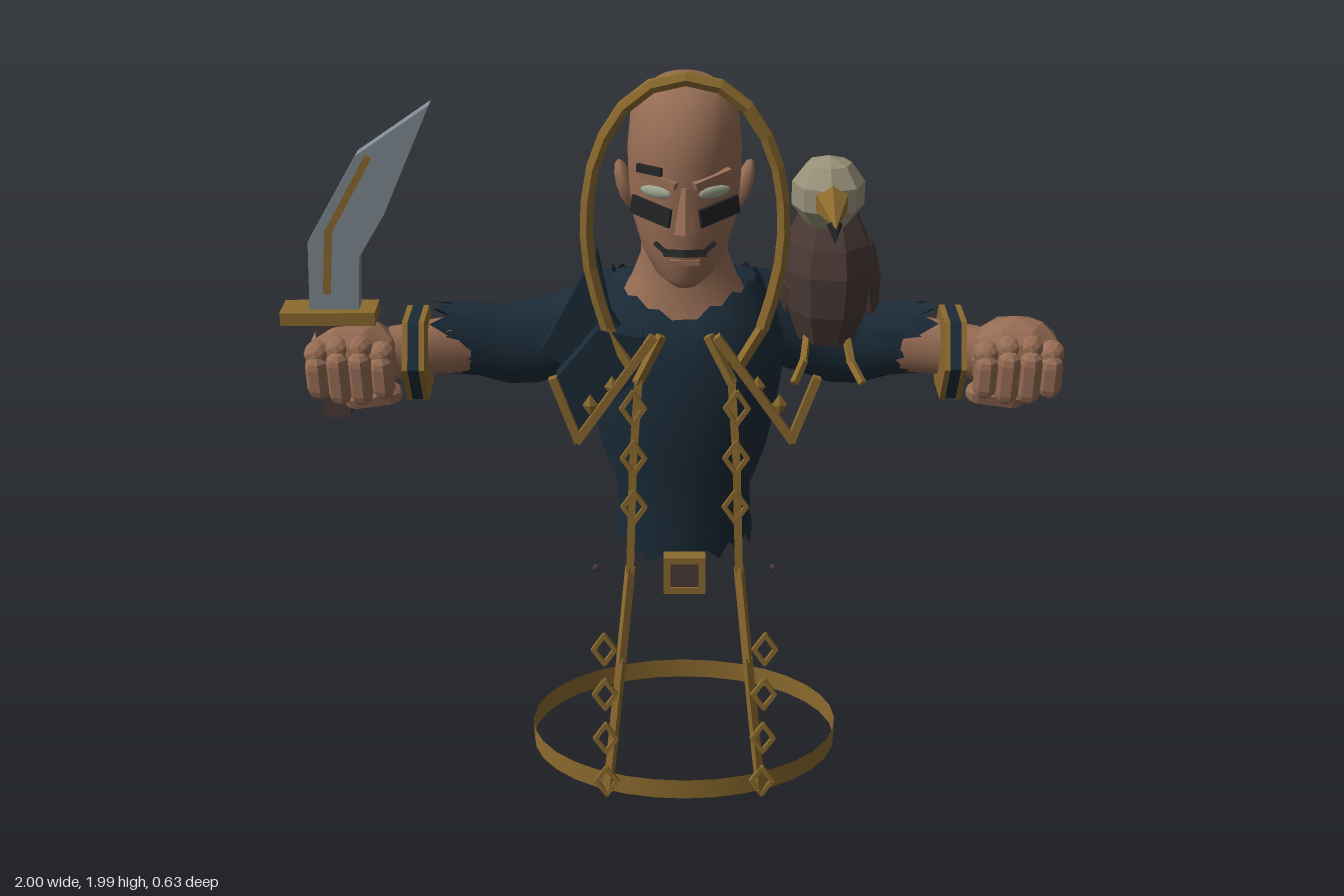
import * as THREE from 'three';

const CX = 0.024; // body centre line
const mat = (name, color, side = THREE.FrontSide) => {
  const m = new THREE.MeshStandardMaterial({ color, side });
  m.name = name;
  return m;
};

export function createModel() {
  const root = new THREE.Group();
  const skin = mat('skin', 0x966c54, THREE.DoubleSide);
  const navy = mat('navy cloth', 0x1b2b38, THREE.DoubleSide);
  const gold = mat('gold', 0x8c6a2e, THREE.DoubleSide);
  const steel = mat('steel', 0x7f8a93);
  const brown = mat('dark brown', 0x4a3a36);
  const bone = mat('pale feather', 0x989179);
  const black = mat('black', 0x252528);
  const pale = mat('eye', 0xa0a68f);

  const add = (name, geo, material, pos = [0, 0, 0], rot = [0, 0, 0], scale = [1, 1, 1]) => {
    const m = new THREE.Mesh(geo, material);
    m.name = name;
    m.position.set(...pos);
    m.rotation.set(...rot);
    m.scale.set(...scale);
    root.add(m);
    return m;
  };
  // faceted normals
  const flat = (g) => {
    const f = g.index ? g.toNonIndexed() : g;
    f.computeVertexNormals();
    return f;
  };
  const box = (w, h, d) => new THREE.BoxGeometry(w, h, d);
  // straight square bar between two points
  const bar = (name, a, b, w, material) => {
    const A = new THREE.Vector3(...a), B = new THREE.Vector3(...b), d = B.clone().sub(A);
    const m = add(name, box(w, d.length() + w * 0.6, w), material);
    m.position.copy(A).add(B).multiplyScalar(0.5);
    m.quaternion.setFromUnitVectors(new THREE.Vector3(0, 1, 0), d.normalize());
  };
  const path = (name, pts, w, material) => {
    for (let i = 1; i < pts.length; i++) bar(name, pts[i - 1], pts[i], w, material);
  };
  // smooth skin through closed rings; point(section, angle, ringIndex, k) gives a vertex
  const loft = (sections, n, point) => {
    const pos = [], idx = [];
    sections.forEach((s, i) => {
      for (let k = 0; k < n; k++) pos.push(...point(s, (k / n) * Math.PI * 2, i, k));
    });
    for (let i = 0; i < sections.length - 1; i++) for (let k = 0; k < n; k++) {
      const a = i * n + k, b = i * n + (k + 1) % n;
      idx.push(a, a + n, b, b, a + n, b + n);
    }
    const g = new THREE.BufferGeometry();
    g.setAttribute('position', new THREE.Float32BufferAttribute(pos, 3));
    g.setIndex(idx);
    g.computeVertexNormals();
    return g;
  };
  // irregular tear pattern
  const jag = (k) => (k % 2 ? 1 : -0.6) * (0.55 + 0.45 * Math.sin(k * 2.7));
  // upright section: [y, half width, front z, back z]
  const upright = ([y, hw, zf, zb], t) =>
    [CX + hw * Math.cos(t), y, (zf + zb) / 2 + (zf - zb) / 2 * Math.sin(t)];

  // torn shirt: neckline dips front and back, ragged hem
  const torso = [[0.655, 0.187, 0.115, -0.185], [0.73, 0.178, 0.12, -0.15], [0.83, 0.174, 0.125, -0.12],
    [0.94, 0.215, 0.14, -0.16], [1.05, 0.24, 0.15, -0.2], [1.15, 0.255, 0.15, -0.21],
    [1.24, 0.258, 0.14, -0.21], [1.305, 0.235, 0.125, -0.197], [1.35, 0.185, 0.095, -0.175]];
  add('shirt', loft(torso, 36, (s, t, i, k) => {
    const p = upright(s, t);
    if (i === 0) p[1] += 0.038 * jag(k);
    if (i === 7) p[1] += 0.03 * Math.abs(Math.cos(t)) - 0.012;
    if (i === 8) p[1] += 0.02 * jag(k) + 0.075 * Math.abs(Math.cos(t)) - 0.02;
    return p;
  }), navy);

  // neck and head
  add('neck', loft([[1.25, 0.21, 0.115, -0.185], [1.335, 0.185, 0.09, -0.172], [1.4, 0.135, 0.07, -0.15],
    [1.47, 0.11, 0.07, -0.125], [1.62, 0.108, 0.07, -0.125]], 24, upright), skin);
  add('head', loft([[1.435, 0.002, 0.09, 0.08], [1.437, 0.042, 0.14, 0.0], [1.46, 0.074, 0.157, -0.05],
    [1.52, 0.108, 0.166, -0.1], [1.6, 0.132, 0.17, -0.135], [1.68, 0.138, 0.172, -0.16],
    [1.76, 0.14, 0.176, -0.17], [1.84, 0.132, 0.158, -0.155], [1.9, 0.102, 0.112, -0.115],
    [1.925, 0.06, 0.06, -0.07], [1.932, 0.002, 0.002, -0.002]], 24, upright), skin);
  add('nose', flat(new THREE.CylinderGeometry(0.01, 0.03, 0.11, 6)), skin, [CX, 1.65, 0.178], [-0.14, 0, 0]);
  for (const s of [-1, 1]) {
    add('ear', new THREE.SphereGeometry(1, 8, 6), skin, [CX + s * 0.148, 1.65, -0.025], [0, 0, -s * 0.25], [0.022, 0.065, 0.035]);
    add('eye', new THREE.SphereGeometry(1, 10, 6), pale, [CX + s * 0.07, 1.69, 0.157], [0, s * 0.55, 0], [0.045, 0.015, 0.008]);
    add('cheekPaint', box(0.115, 0.046, 0.009), black, [CX + s * 0.082, 1.64, 0.152], [0, s * 0.62, s * 0.15]);
    add('browRidge', box(0.1, 0.018, 0.02), skin, [CX + s * 0.065, 1.722, 0.156], [0, s * 0.5, s * 0.22]);
    bar('moustache', [CX, 1.54, 0.177], [CX + s * 0.045, 1.537, 0.162], 0.018, black);
    bar('moustacheTip', [CX + s * 0.045, 1.537, 0.162], [CX + s * 0.07, 1.555, 0.147], 0.012, black);
  }
  add('eyebrow', box(0.07, 0.02, 0.009), black, [CX - 0.085, 1.745, 0.158], [0, -0.6, 0]);
  add('lowerLip', box(0.07, 0.014, 0.02), skin, [CX, 1.513, 0.16]);

  // arms, cuffs and fists; section: [distance, y, z, ry, rz, ragged]
  for (const s of [-1, 1]) {
    const along = (amount) => (sec, t, i, k) => {
      const [d, cy, cz, ry, rz] = sec;
      const e = sec[5] ? amount * jag(k) : 0;
      return [CX + s * (d + e), cy + ry * Math.cos(t), cz - s * rz * Math.sin(t)];
    };
    add('sleeve', loft([[0.12, 1.29, -0.075, 0.115, 0.1], [0.21, 1.265, -0.1, 0.125, 0.1], [0.3, 1.22, -0.108, 0.112, 0.085],
      [0.38, 1.19, -0.108, 0.115, 0.077], [0.46, 1.185, -0.1, 0.11, 0.07], [0.54, 1.205, -0.085, 0.1, 0.064],
      [0.61, 1.215, -0.07, 0.098, 0.06, 1]], 20, along(0.045)), navy);
    add('forearm', loft([[0.5, 1.2, -0.085, 0.085, 0.05], [0.64, 1.2, -0.05, 0.075, 0.055], [0.76, 1.19, -0.025, 0.072, 0.06]],
      16, along(0)), skin);
    const hex = (r, h) => flat(new THREE.CylinderGeometry(r, r, h, 6));
    add('cuff', hex(0.122, 0.036), navy, [CX + s * 0.685, 1.2, -0.008], [0, 0, Math.PI / 2], [1, 1, 0.92]);
    for (const e of [-1, 1])
      add('cuffTrim', hex(0.125, 0.014), gold, [CX + s * (0.685 + e * 0.021), 1.2, -0.008], [0, 0, Math.PI / 2], [1, 1, 0.92]);
    add('fist', flat(new THREE.IcosahedronGeometry(1, 1)), skin, [CX + s * 0.848, 1.195, -0.005], [0, 0, 0], [0.127, 0.106, 0.09]);
    for (let i = 0; i < 4; i++) {
      const x = CX + s * (0.768 + i * 0.055), mid = Math.abs(i - 1.5);
      add('finger', flat(new THREE.CapsuleGeometry(0.031, 0.1 - mid * 0.025, 3, 7)), skin, [x, 1.165, 0.078 - mid * 0.008], [0.1, 0, 0]);
      add('knuckle', flat(new THREE.IcosahedronGeometry(0.035, 1)), skin, [x, 1.245 - mid * 0.015, 0.05]);
    }
    add('thumb', flat(new THREE.CapsuleGeometry(0.032, 0.09, 3, 7)), skin, [CX + s * 0.8, 1.1, 0.04], [0, 0, Math.PI / 2 - s * 0.15]);
  }

  // curved sword
  add('swordGrip', box(0.072, 0.28, 0.06), brown, [-0.878, 1.17, -0.005]);
  add('swordGuard', box(0.24, 0.035, 0.09), gold, [-0.878, 1.312, -0.005]);
  const blade = new THREE.Shape([[-0.925, 1.33], [-0.8, 1.33], [-0.79, 1.47], [-0.72, 1.583], [-0.593, 1.862],
    [-0.78, 1.735], [-0.915, 1.51]].map((p) => new THREE.Vector2(...p)));
  add('swordBlade', new THREE.ExtrudeGeometry(blade, { depth: 0.046, bevelEnabled: false }), steel, [0, 0, -0.028]);
  path('bladeInlay', [[-0.877, 1.38, 0.016], [-0.861, 1.54, 0.016], [-0.75, 1.73, 0.016]], 0.018, gold);

  // tall golden collar arch
  const half = [[0.19, 1.35], [0.228, 1.5], [0.235, 1.65], [0.205, 1.8], [0.135, 1.915]];
  const arch = [...half.map(([x, y]) => [-x, y]), [-0.05, 1.967], [0.05, 1.967], ...half.slice().reverse()];
  const curve = new THREE.CatmullRomCurve3(arch.map(([x, y]) => new THREE.Vector3(CX + x, y, 0.184)));
  add('collarArch', flat(new THREE.TubeGeometry(curve, 18, 0.018, 6)), gold);

  // raised collar plate and lapel on the right side
  const plate = (name, pts, z, depth) => add(name, new THREE.ExtrudeGeometry(
    new THREE.Shape(pts.map(([x, y]) => new THREE.Vector2(x, y))), { depth, bevelEnabled: false }), navy, [0, 0, z]);
  plate('collarPlate', [[-0.33, 1.28], [-0.24, 1.2], [-0.1, 1.27], [-0.16, 1.38], [-0.19, 1.54]], 0.12, 0.035);
  plate('lapelPlate', [[-0.295, 1.22], [-0.245, 1.06], [-0.07, 1.25], [-0.08, 1.33], [-0.19, 1.35]], 0.145, 0.055);

  // coat trims, lapel trims and chain links
  const link = (x, y, z) => path('chainLink', [[0, 0.043], [0.028, 0], [0, -0.043], [-0.028, 0], [0, 0.043]]
    .map(([a, b]) => [x + a, y + b, z]), 0.011, gold);
  for (const s of [-1, 1]) {
    const P = (x, y, z) => [CX + s * x, y, z];
    path('lapelTrim', [P(0.325, 1.22, 0.204), P(0.268, 1.055, 0.204), P(0.08, 1.33, 0.204)], 0.021, gold);
    path('collarTrim', [P(0.19, 1.35, 0.186), P(0.13, 1.25, 0.2)], 0.022, gold);
    path('coatTrim', [P(0.06, 1.33, 0.2), P(0.115, 1.22, 0.215), P(0.13, 1.0, 0.23), P(0.14, 0.7, 0.24),
      P(0.165, 0.45, 0.28), P(0.205, 0.05, 0.303)], 0.02, gold);
    for (let i = 0; i < 3; i++) link(CX + s * 0.128, 1.16 - i * 0.138, 0.244);
    for (let i = 0; i < 4; i++) link(CX + s * 0.208, 0.5 - i * 0.139, 0.31);
    for (const [x, y] of [[0.18, 1.2], [0.235, 1.15]])
      add('lapelStud', flat(new THREE.OctahedronGeometry(1)), gold, P(x, y, 0.204), [0, 0, 0], [0.02, 0.03, 0.01]);
    add('rivet', new THREE.SphereGeometry(0.009, 8, 6), brown, P(0.23, 0.675, 0.19));
  }
  add('rivet', new THREE.SphereGeometry(0.009, 8, 6), brown, [CX - 0.14, 0.675, 0.19]);

  // belt buckle
  add('bucklePlate', box(0.075, 0.07, 0.03), brown, [CX, 0.675, 0.215]);
  for (const s of [-1, 1]) {
    add('buckleSide', box(0.018, 0.106, 0.036), gold, [CX + s * 0.045, 0.675, 0.218]);
    add('buckleEdge', box(0.106, 0.018, 0.036), gold, [CX, 0.675 + s * 0.044, 0.218]);
  }

  // oval hoop on the ground
  add('baseHoop', new THREE.CylinderGeometry(1, 1, 0.06, 32, 1, true), gold, [0.026, 0.03, -0.018], [0, 0, 0], [0.427, 1, 0.297]);

  // bird on the left shoulder
  const prof = [[0.001, 1.23], [0.075, 1.235], [0.105, 1.32], [0.118, 1.43], [0.105, 1.5], [0.07, 1.575], [0.001, 1.58]];
  add('birdBody', flat(new THREE.LatheGeometry(prof.map((p) => new THREE.Vector2(...p)), 8)), brown,
    [0.388, 0, -0.045], [0, 0.3, 0], [1, 1, 1.12]);
  for (const s of [-1, 1]) {
    add('birdWing', flat(new THREE.OctahedronGeometry(1, 1)), brown, [0.392 + s * 0.1, 1.39, -0.07], [0.15, 0, s * 0.12], [0.035, 0.13, 0.075]);
    path('birdLeg', [[0.388 + s * 0.05, 1.25, 0.0], [0.388 + s * 0.06, 1.2, 0.05], [0.388 + s * 0.085, 1.165, 0.1]], 0.016, gold);
  }
  add('birdTail', box(0.09, 0.16, 0.025), brown, [0.388, 1.33, -0.15], [0.25, 0, 0]);
  add('birdHead', flat(new THREE.SphereGeometry(0.095, 8, 5)), bone, [0.379, 1.635, 0.0]);
  add('birdBeak', flat(new THREE.ConeGeometry(0.045, 0.14, 6)), gold, [0.382, 1.625, 0.145], [Math.PI / 2 + 0.12, 0, 0]);
  add('beakTip', flat(new THREE.ConeGeometry(0.02, 0.05, 5)), black, [0.382, 1.595, 0.19], [Math.PI - 0.6, 0, 0]);
  return root;
}
